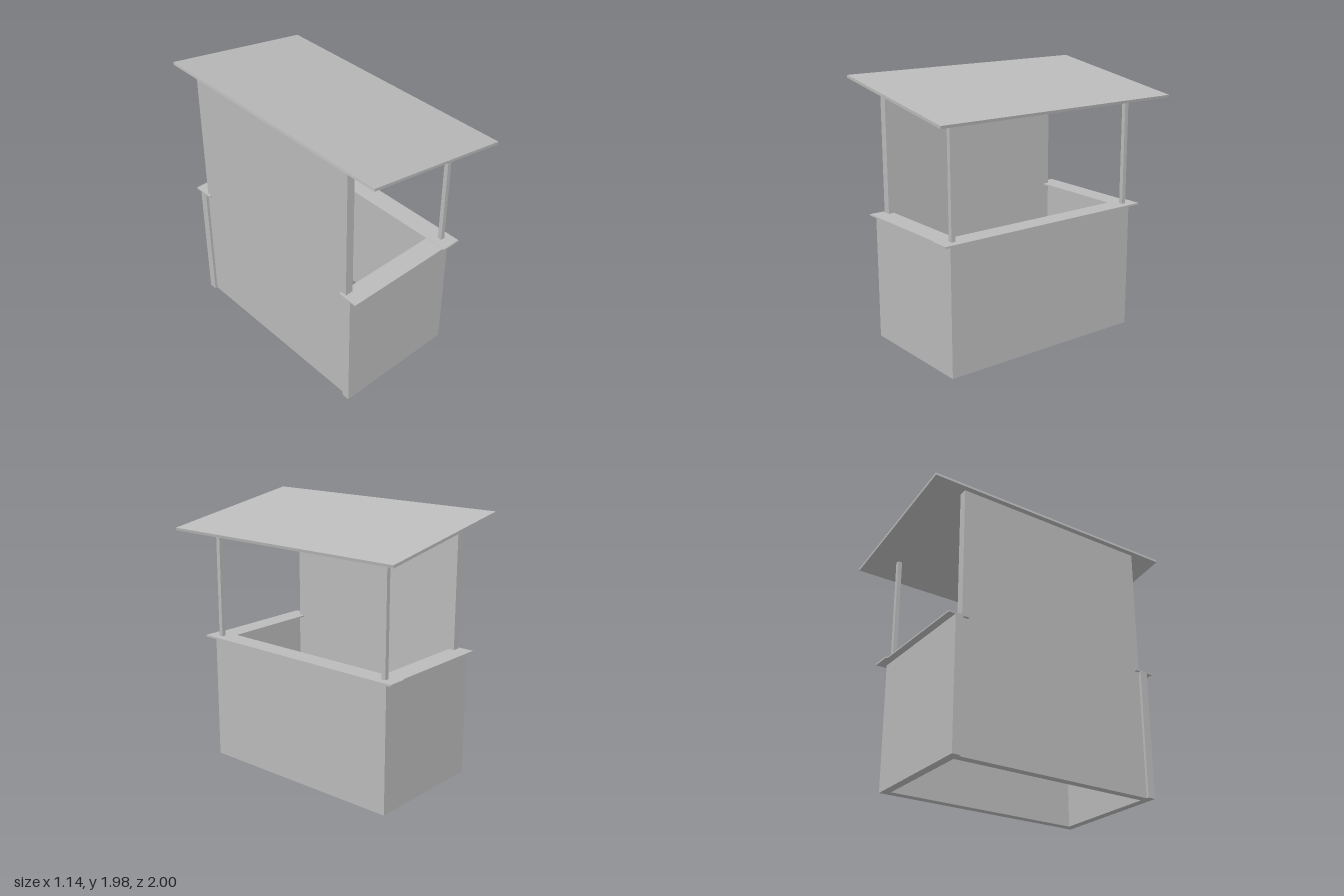
import * as THREE from 'three';

const grey = new THREE.MeshStandardMaterial({ color: 0xbababa });
grey.name = 'plain grey';

// Box given by its min and max on each axis
function block(name, [x0, x1], [y0, y1], [z0, z1]) {
  const mesh = new THREE.Mesh(new THREE.BoxGeometry(x1 - x0, y1 - y0, z1 - z0), grey);
  mesh.position.set((x0 + x1) / 2, (y0 + y1) / 2, (z0 + z1) / 2);
  mesh.name = name;
  return mesh;
}

export function createModel() {
  const stall = new THREE.Group();
  stall.name = 'marketStall';

  const bodyTop = 0.95;
  const counterTop = 0.963;

  // Tall back wall and low serving wall, set between the side walls
  stall.add(block('backWall', [-0.55, -0.49], [0, 1.943], [-0.755, 0.755]));
  stall.add(block('servingWall', [0.32, 0.38], [0, bodyTop], [-0.755, 0.755]));

  // Counter board over the serving wall
  stall.add(block('servingCounter', [0.27, 0.42], [bodyTop, counterTop], [-0.88, 0.88]));

  // Side walls, side counters and roof posts, mirrored
  for (const [label, s] of [['front', 1], ['back', -1]]) {
    const span = (a, b) => (s > 0 ? [a, b] : [-b, -a]);
    stall.add(block(label + 'SideWall', [-0.57, 0.38], [0, bodyTop], span(0.755, 0.815)));
    stall.add(block(label + 'SideCounter', [-0.57, 0.27], [bodyTop, counterTop - 0.002], span(0.71, 0.867)));
    stall.add(block(label + 'RoofPost', [0.332, 0.364], [counterTop, 1.804], span(0.763, 0.795)));
  }

  // Sloping flat roof
  const roof = new THREE.Mesh(new THREE.BoxGeometry(1.152, 0.02, 2), grey);
  roof.name = 'roof';
  roof.position.y = 1.875;
  roof.rotation.z = -THREE.MathUtils.degToRad(9.5);
  stall.add(roof);

  return stall;
}
